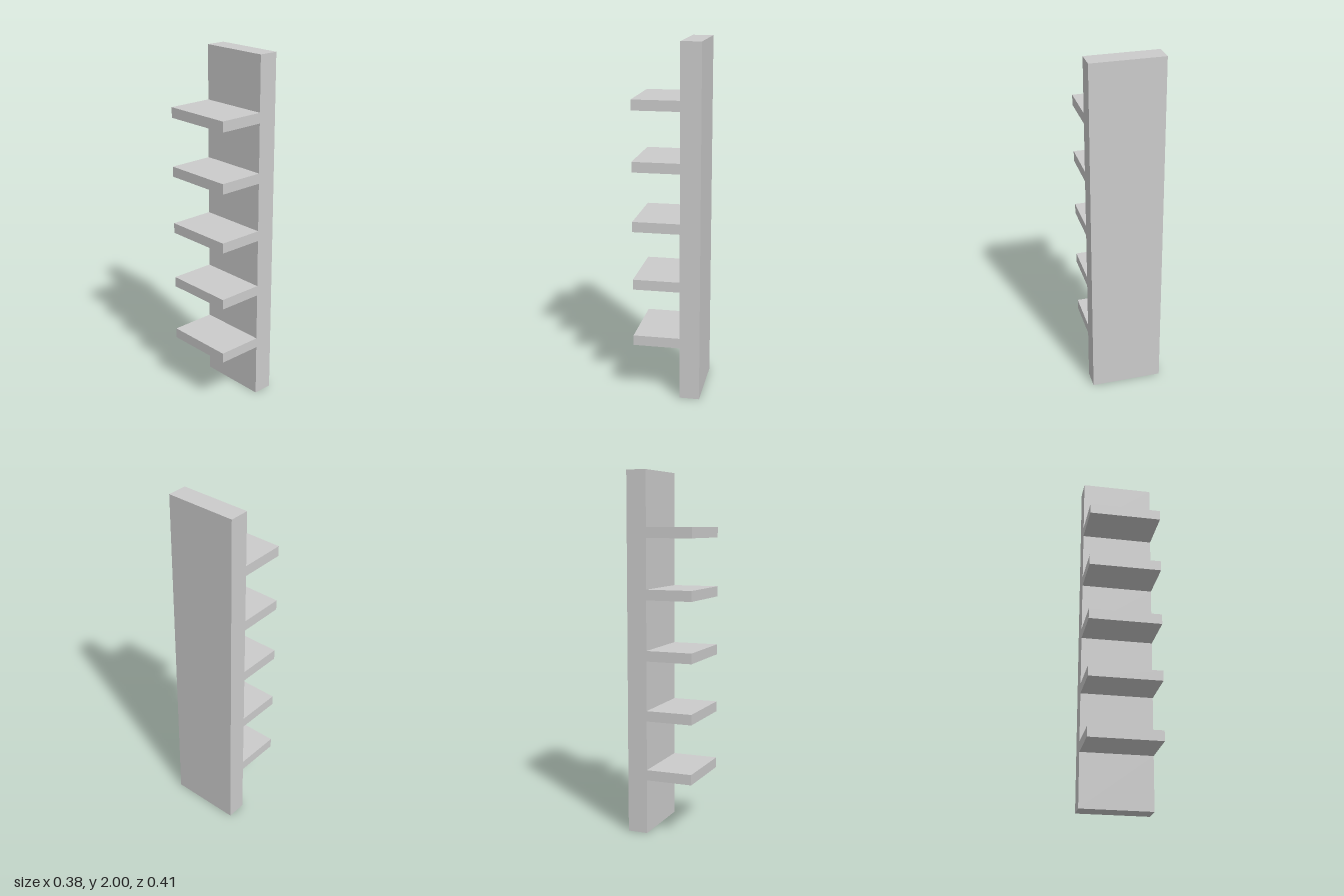
import * as THREE from 'three';

const DEPTH = 0.406;
const OUTER = 0.188;      // outer face of the upright (mirrored: shelf tips)
const INNER = 0.075;      // face the shelves grow from
const HEIGHT = 2;
const SHELVES = 5;
const THICKNESS = 0.058;

export function createModel() {
  const group = new THREE.Group();
  group.name = 'shelfUnit';

  // Comb-shaped side profile: upright plus evenly spaced shelves, one solid
  const profile = new THREE.Shape();
  profile.moveTo(INNER, 0);
  profile.lineTo(OUTER, 0);
  profile.lineTo(OUTER, HEIGHT);
  profile.lineTo(INNER, HEIGHT);
  for (let i = SHELVES; i >= 1; i--) {
    const y = (HEIGHT * i) / (SHELVES + 1);
    const top = y + THICKNESS / 2;
    const bottom = y - THICKNESS / 2;
    profile.lineTo(INNER, top);
    profile.lineTo(-OUTER, top);
    profile.lineTo(-OUTER, bottom);
    profile.lineTo(INNER, bottom);
  }
  profile.closePath();

  const geometry = new THREE.ExtrudeGeometry(profile, { depth: DEPTH, bevelEnabled: false });
  geometry.translate(0, 0, -DEPTH / 2);

  const material = new THREE.MeshStandardMaterial({ color: 0xcccccc, flatShading: true });
  const body = new THREE.Mesh(geometry, material);
  body.name = 'uprightWithShelves';
  group.add(body);
  return group;
}
